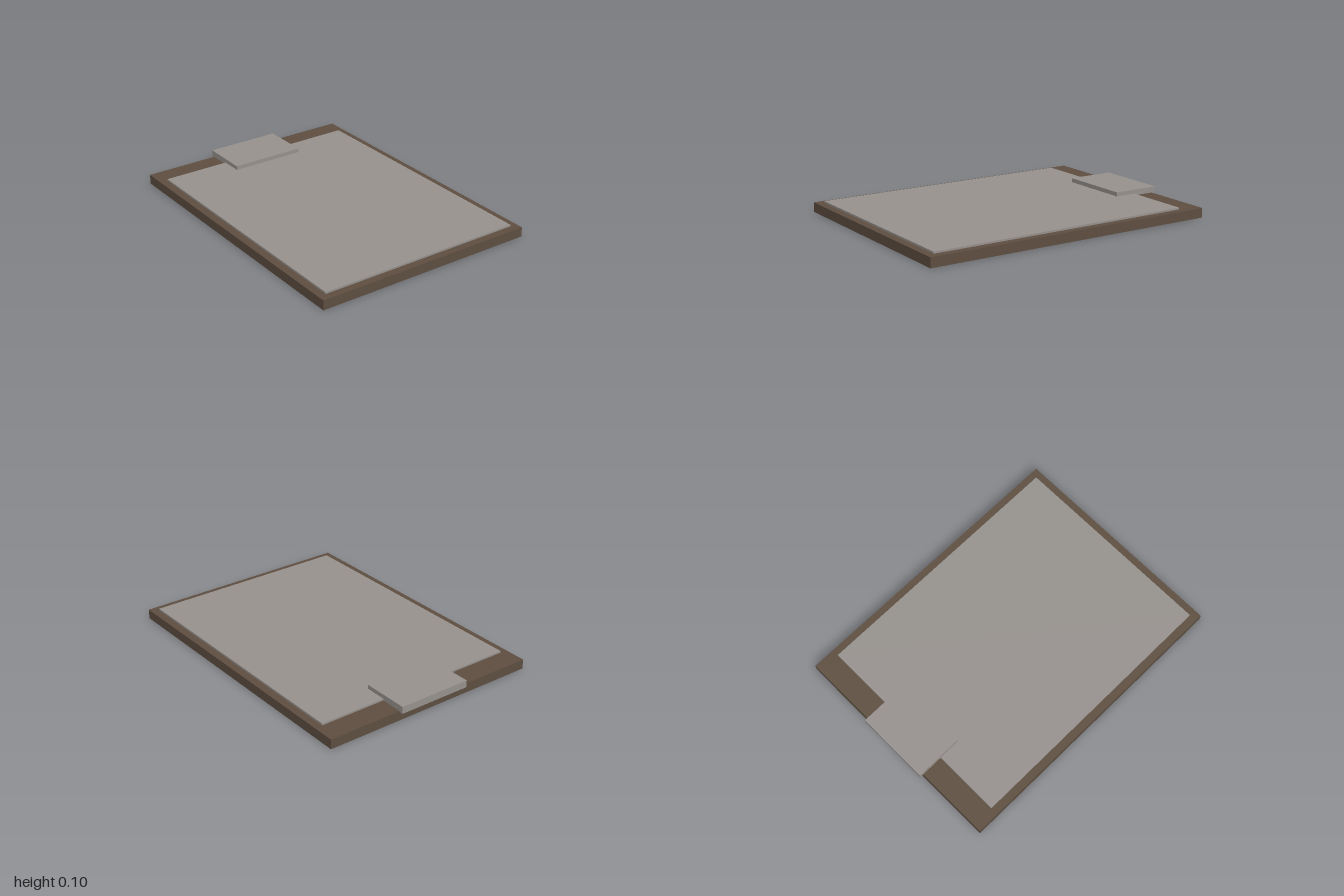
import * as THREE from 'three';

// Box spanning the given ranges on each axis
function slab(name, material, [x0, x1], [y0, y1], [z0, z1]) {
  const mesh = new THREE.Mesh(new THREE.BoxGeometry(x1 - x0, y1 - y0, z1 - z0), material);
  mesh.position.set((x0 + x1) / 2, (y0 + y1) / 2, (z0 + z1) / 2);
  mesh.name = name;
  return mesh;
}

export function createModel() {
  const wood = new THREE.MeshStandardMaterial({ name: 'brown wood', color: 0x5f4f41 });
  const grey = new THREE.MeshStandardMaterial({ name: 'warm grey', color: 0x98938f });

  const clipboard = new THREE.Group();
  clipboard.name = 'clipboard';
  clipboard.add(
    // Backing board
    slab('board', wood, [-0.741, 0.741], [0, 0.063], [-0.975, 1]),
    // Sheet of paper lying on the board
    slab('paper', grey, [-0.691, 0.691], [0.06, 0.075], [-0.828, 0.95]),
    // Clip overhanging the back edge
    slab('clip', grey, [-0.247, 0.247], [0.056, 0.102], [-1, -0.684]),
  );
  return clipboard;
}
